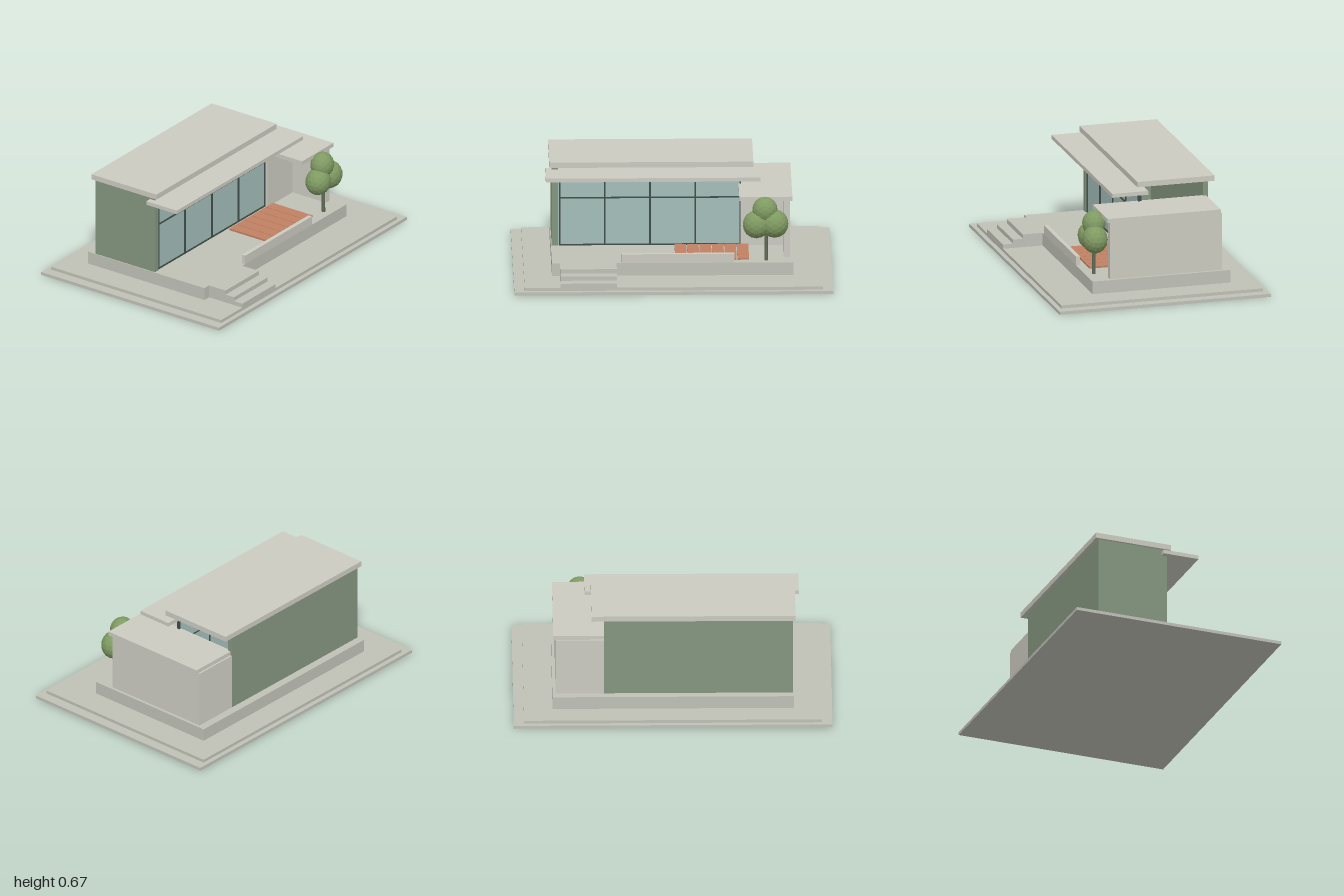
import * as THREE from 'three';

const mat = (color, flatShading = false) => new THREE.MeshStandardMaterial({ color, flatShading });

export function createModel() {
  const house = new THREE.Group();
  house.name = 'house';
  const stone = mat(0xbfc1b6), plaster = mat(0xcbcbc1), green = mat(0x84957f);
  const glass = mat(0xa3bdb9), frame = mat(0x3f4d47), wood = mat(0xc08163);
  const bark = mat(0x5f6b57), leaf = mat(0x7f9a62, true);

  // Box given by its extents along each axis
  const box = (name, material, [x0, x1], [y0, y1], [z0, z1], parent = house) => {
    const mesh = new THREE.Mesh(new THREE.BoxGeometry(x1 - x0, y1 - y0, z1 - z0), material);
    mesh.position.set((x0 + x1) / 2, (y0 + y1) / 2, (z0 + z1) / 2);
    mesh.name = name;
    parent.add(mesh);
    return mesh;
  };
  const group = (name) => {
    const g = new THREE.Group();
    g.name = name;
    house.add(g);
    return g;
  };

  // Ground slabs and plinth
  box('baseSlab', stone, [-1, 1], [0, 0.02], [-0.69, 0.69]);
  box('gardenSlab', stone, [-0.935, 0.935], [0.02, 0.04], [-0.66, 0.66]);
  box('plinth', stone, [-0.76, 0.755], [0.04, 0.122], [-0.5, 0.402]);

  // Entrance steps, each lower one reaching further forward
  const steps = group('steps');
  [[0.122, 0.402, 0.53], [0.094, 0.53, 0.595], [0.067, 0.595, 0.66]].forEach(([top, back, front]) =>
    box('step', stone, [-0.71, -0.355], [0.04, top], [back, front], steps));

  // Low terrace wall
  box('terraceWall', plaster, [-0.325, 0.385], [0.122, 0.18], [0.375, 0.402]);

  // Timber deck
  const deck = group('deck');
  for (let i = 0; i < 6; i++) {
    const x = 0.015 + i * 0.078;
    box('plank', wood, [x, x + 0.073], [0.122, 0.134], [0.03, 0.34], deck);
  }

  // Main volume: back and left walls, with the right end open above the wing
  box('backWall', green, [-0.755, 0.43], [0.122, 0.638], [-0.448, -0.415]);
  box('leftWall', green, [-0.755, -0.715], [0.122, 0.638], [-0.415, 0.015]);
  box('mainRoof', plaster, [-0.77, 0.51], [0.638, 0.673], [-0.468, 0.037]);
  box('canopy', plaster, [-0.795, 0.55], [0.596, 0.621], [-0.022, 0.213]);

  // Glazed front with frame bars
  const glazing = group('glazing');
  box('glassPane', glass, [-0.715, 0.43], [0.122, 0.596], [-0.008, 0.002], glazing);
  for (let i = 0; i <= 4; i++) {
    const x = -0.705 + i * 0.2835;
    box('mullion', frame, [x - 0.005, x + 0.005], [0.122, 0.596], [-0.012, 0.01], glazing);
  }
  for (const y of [0.126, 0.433, 0.591])
    box('rail', frame, [-0.705, 0.43], [y - 0.004, y + 0.004], [-0.011, 0.009], glazing);

  // Side wing with a recessed front under its roof
  box('wingSideWall', plaster, [0.695, 0.735], [0.122, 0.495], [-0.448, 0.283]);
  box('wingBackWall', plaster, [0.43, 0.695], [0.122, 0.495], [-0.448, -0.415]);
  box('wingFrontWall', plaster, [0.43, 0.695], [0.122, 0.495], [-0.01, 0.025]);
  box('wingRoof', plaster, [0.417, 0.75], [0.495, 0.522], [-0.437, 0.303]);

  // Tree: thin trunk and three rounded crowns
  const tree = group('tree');
  const trunk = new THREE.Mesh(new THREE.CylinderGeometry(0.009, 0.012, 0.24, 8), bark);
  trunk.position.set(0.585, 0.242, 0.345);
  trunk.name = 'trunk';
  tree.add(trunk);
  [[0.577, 0.45, 0.342, 0.08], [0.523, 0.356, 0.35, 0.086], [0.637, 0.362, 0.353, 0.088]].forEach(([x, y, z, r]) => {
    const crown = new THREE.Mesh(new THREE.IcosahedronGeometry(r, 2), leaf);
    crown.scale.set(1, 1.03, 0.92);
    crown.position.set(x, y, z);
    crown.name = 'crown';
    tree.add(crown);
  });

  return house;
}
